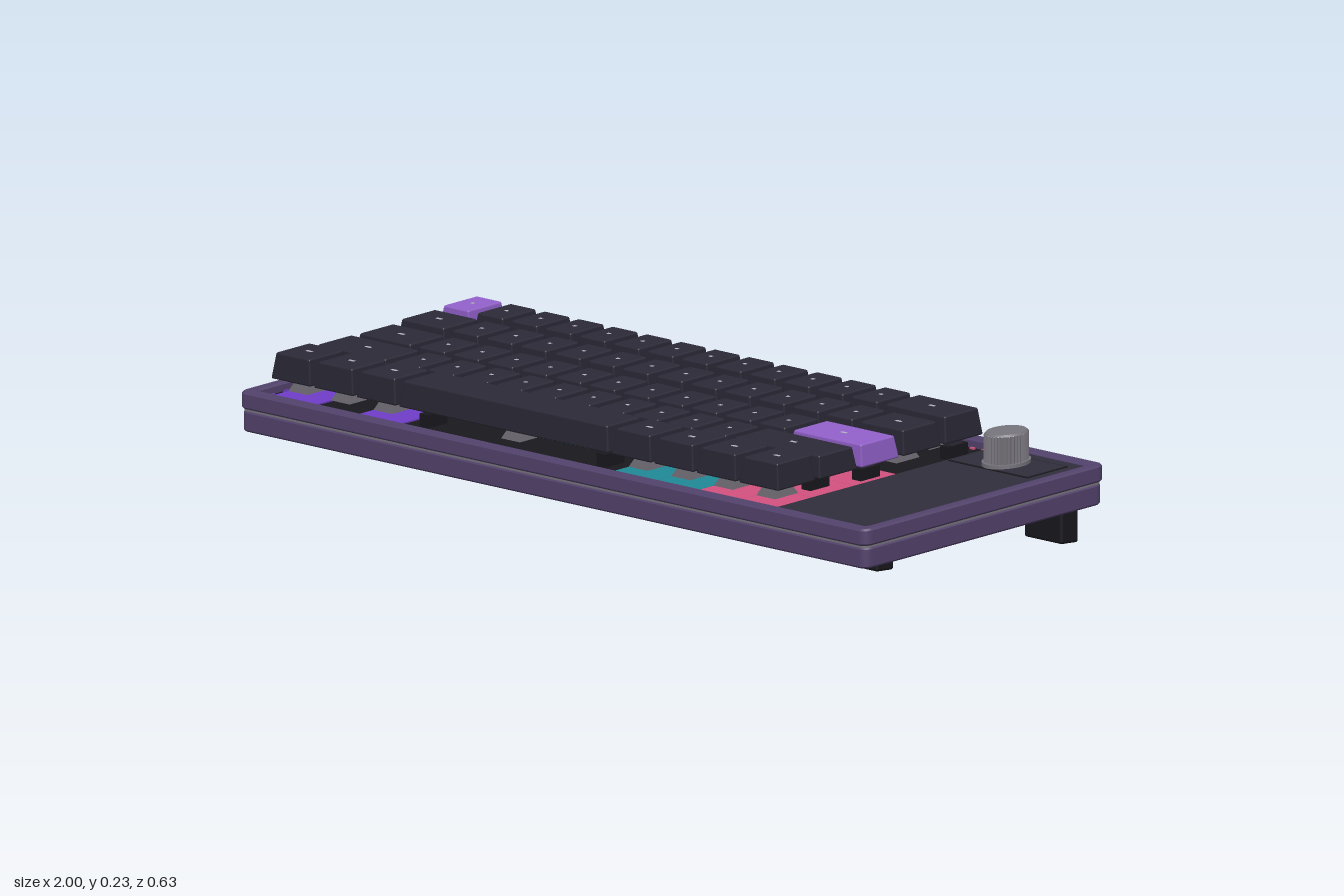
import * as THREE from 'three';
import { RoundedBoxGeometry } from 'three/addons/geometries/RoundedBoxGeometry.js';

const mat = (name, color) => new THREE.MeshStandardMaterial({ name, color });

// The whole keyboard slopes up towards the back
const SLOPE = new THREE.Matrix4().set(1, 0, 0, 0, 0, 1, -0.102, 0, 0, 0, 1, 0, 0, 0, 0, 1);

function roundedRect(w, d, r, Type = THREE.Shape) {
  const s = new Type(), x = w / 2, y = d / 2;
  s.moveTo(-x + r, -y);
  s.lineTo(x - r, -y).absarc(x - r, -y + r, r, -Math.PI / 2, 0);
  s.lineTo(x, y - r).absarc(x - r, y - r, r, 0, Math.PI / 2);
  s.lineTo(-x + r, y).absarc(-x + r, y - r, r, Math.PI / 2, Math.PI);
  s.lineTo(-x, -y + r).absarc(-x + r, -y + r, r, Math.PI, Math.PI * 1.5);
  return s;
}

// Rounded slab standing on y = 0, with a chamfer b and an optional opening
function slab(w, h, d, r, b = 0, hole = null) {
  const s = roundedRect(w - 2 * b, d - 2 * b, r);
  if (hole) s.holes.push(roundedRect(hole[0] + 2 * b, hole[1] + 2 * b, 0.012, THREE.Path));
  const g = new THREE.ExtrudeGeometry(s, {
    depth: h - 2 * b, bevelEnabled: b > 0, bevelSize: b, bevelThickness: b, bevelSegments: 1, curveSegments: 5,
  });
  return g.translate(0, 0, b).rotateX(-Math.PI / 2);
}

// Box standing on y = 0 whose top is narrowed by ix and iz on each side
function tapered(g, w, h, d, ix, iz) {
  g.translate(0, h / 2, 0);
  const p = g.attributes.position;
  for (let i = 0; i < p.count; i++) {
    const t = p.getY(i) / h;
    p.setX(i, p.getX(i) * (1 - (2 * ix * t) / w));
    p.setZ(i, p.getZ(i) * (1 - (2 * iz * t) / d));
  }
  return g;
}

export function createModel() {
  const model = new THREE.Group();
  model.name = 'keyboard';
  const M = {
    shell: mat('case purple', 0x51416a),
    cap: mat('keycap charcoal', 0x2b2936),
    accent: mat('accent lilac', 0x9160c8),
    deck: mat('deck slate', 0x302d3b),
    black: mat('rubber black', 0x18181d),
    grey: mat('metal grey', 0x76747b),
    legend: mat('legend pale', 0xb4b1c0),
    violet: mat('violet light', 0x6d3cc4),
    teal: mat('teal light', 0x1f8794),
    pink: mat('pink light', 0xd0507c),
  };
  const group = (name) => {
    const g = new THREE.Group();
    g.name = name;
    model.add(g);
    return g;
  };
  // Place a part in the flat layout, then slope it
  const put = (parent, name, geo, material, x, y, z, sloped = true) => {
    geo.translate(x, y, z);
    if (sloped) geo.applyMatrix4(SLOPE);
    const m = new THREE.Mesh(geo, material);
    m.name = name;
    parent.add(m);
    return m;
  };
  const box = (w, h, d) => new THREE.BoxGeometry(w, h, d).translate(0, h / 2, 0);

  // Case: lower tray, seam strip, upper frame, floor under the keys
  const body = group('case');
  put(body, 'lowerCase', slab(1.994, 0.043, 0.622, 0.016, 0.004), M.shell, 0, 0.045, 0);
  put(body, 'seamStrip', slab(1.988, 0.006, 0.617, 0.014), M.grey, 0, 0.087, 0);
  put(body, 'upperFrame', slab(2, 0.035, 0.629, 0.018, 0.004, [1.945, 0.574]), M.shell, 0, 0.092, 0);
  put(body, 'switchPlate', box(1.96, 0.016, 0.59), M.black, 0, 0.093, 0);
  put(body, 'bottomPanel', slab(1.86, 0.006, 0.5, 0.02), M.black, 0, 0.0405, 0);

  // Right-hand deck with the knob panel
  put(body, 'sideDeck', box(0.294, 0.02, 0.576), M.deck, 0.826, 0.102, 0);
  put(body, 'knobPanelEdge', box(0.252, 0.002, 0.106), M.black, 0.814, 0.1215, -0.21);
  put(body, 'knobPanel', box(0.244, 0.003, 0.098), M.deck, 0.814, 0.1215, -0.21);

  // Feet: short in front, tall at the back, standing upright
  const feet = group('feet');
  for (const x of [-0.915, 0.915]) {
    for (const [name, z, h] of [['frontFoot', 0.24, 0.028], ['backFoot', -0.24, 0.076]]) {
      put(feet, name, new RoundedBoxGeometry(0.12, h, 0.046, 2, 0.006), M.black, x, h / 2, z, false);
    }
  }

  // Knurled knob on a thin collar
  const knob = group('knob');
  put(knob, 'knobCollar', new THREE.CylinderGeometry(0.05, 0.05, 0.008, 40), M.grey, 0.812, 0.128, -0.207);
  let grip = new THREE.CylinderGeometry(0.046, 0.046, 0.056, 72, 1, true);
  const gp = grip.attributes.position;
  for (let i = 0; i < gp.count; i++) {
    const k = i % 73 % 2 ? 0.93 : 1;
    gp.setX(i, gp.getX(i) * k);
    gp.setZ(i, gp.getZ(i) * k);
  }
  grip = grip.toNonIndexed();
  grip.computeVertexNormals();
  put(knob, 'knobGrip', grip, M.grey, 0.812, 0.16, -0.207);
  put(knob, 'knobTop', new THREE.CylinderGeometry(0.041, 0.0445, 0.004, 40), M.grey, 0.812, 0.19, -0.207);

  // Key rows from back to front: widths in key units, cap height, lit keys
  const U = 0.1085, X0 = -0.957, PITCH = 0.109, BASE = 0.149;
  const ones = (n) => Array(n).fill(1);
  const rows = [
    { keys: [...ones(13), 2], h: 0.055, violet: [4], teal: [9, 10], pink: [] },
    { keys: [1.5, ...ones(12), 1.5], h: 0.051, violet: [3], teal: [9, 10], pink: [] },
    { keys: [1.75, ...ones(11), 2.25], h: 0.0455, violet: [0, 3], teal: [6, 7], pink: [12] },
    { keys: [2.25, ...ones(10), 2.75], h: 0.0465, violet: [0], teal: [5, 6], pink: [11] },
    { keys: [1.25, 1.25, 1.25, 6.25, 1.25, 1.25, 1.25, 1.25], h: 0.054, violet: [0, 2], teal: [4, 5], pink: [6, 7] },
  ];
  const keys = group('keys'), switches = group('switches'), lights = group('lights');
  rows.forEach((row, r) => {
    const z = (r - 2) * PITCH;
    let left = X0;
    row.keys.forEach((n, i) => {
      const x = left + (n * U) / 2, w = n * U - 0.01, d = 0.099;
      left += n * U;
      const accent = (r === 0 && i === 0) || (r === 2 && i === row.keys.length - 1);
      const cap = new RoundedBoxGeometry(w, row.h, d, 2, 0.004);
      put(keys, 'keycap', tapered(cap, w, row.h, d, 0.01, 0.006), accent ? M.accent : M.cap, x, BASE, z);
      if (n < 6) put(keys, 'keyMark', box(n > 1 ? 0.018 : 0.009, 0.001, 0.006), M.legend, x, BASE + row.h - 0.0003, z);

      // Switch housing and stem, with stabilisers under wide keys
      put(switches, 'switchHousing', tapered(box(0.076, 0.032, 0.076), 0.076, 0.032, 0.076, 0.016, 0.016), M.grey, x, 0.108, z);
      put(switches, 'switchStem', box(0.024, 0.02, 0.022), M.pink, x, 0.135, z);
      if (n >= 2) {
        const off = n > 6 ? 2.6 * U : 0.65 * U;
        for (const s of [-1, 1]) {
          put(switches, 'stabiliserBase', box(0.028, 0.028, 0.05), M.black, x + s * off, 0.108, z);
          put(switches, 'stabiliserStem', box(0.02, 0.03, 0.026), M.cap, x + s * off, 0.13, z);
        }
      }
      // Glow plate under lit keys
      for (const c of ['violet', 'teal', 'pink']) {
        if (row[c].includes(i)) put(lights, c + 'Glow', box(n * U - 0.001, 0.003, PITCH - 0.001), M[c], x, 0.109, z);
      }
    });
  });

  // Small lamps around the key field, changing colour from left to right
  const lampColour = (x) => (x < -0.3 ? M.violet : x < 0.35 ? M.teal : M.pink);
  for (let i = 0; i < 45; i++) {
    const x = X0 + (i + 0.5) * (U / 3);
    for (const z of [-0.279, 0.279]) put(lights, 'edgeLamp', box(0.012, 0.004, 0.005), lampColour(x), x, 0.109, z);
  }
  for (let i = 0; i < 15; i++) {
    const z = (i - 7) * (PITCH / 3);
    put(lights, 'edgeLamp', box(0.005, 0.004, 0.012), M.violet, -0.963, 0.109, z);
    put(lights, 'edgeLamp', box(0.005, 0.004, 0.012), M.pink, 0.675, 0.109, z);
  }
  return model;
}
